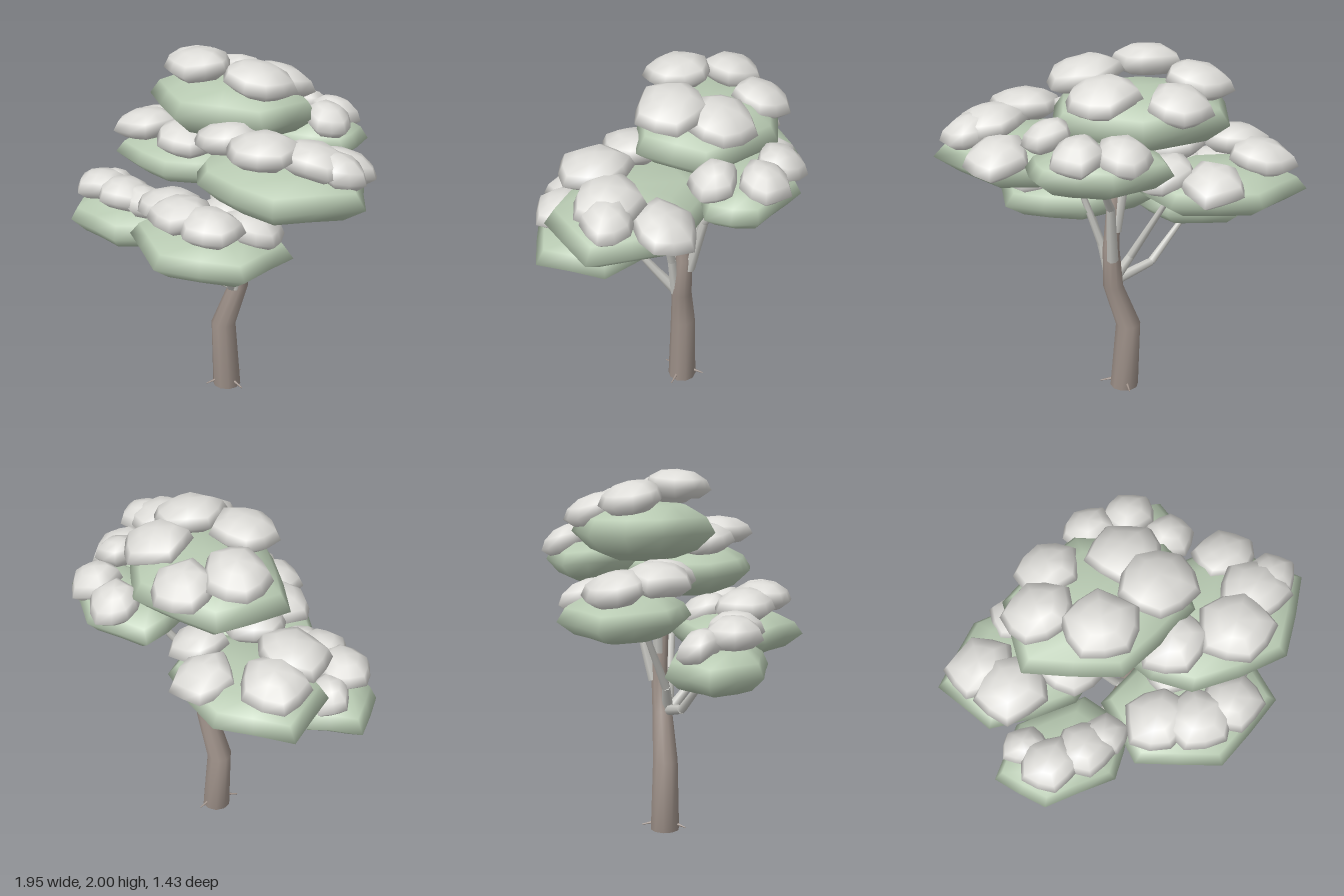
import * as THREE from 'three';
import { mergeVertices } from 'three/addons/utils/BufferGeometryUtils.js';

const mat = (name, color) => {
  const m = new THREE.MeshStandardMaterial({ color });
  m.name = name;
  return m;
};

// Skin a stack of equal-length rings, lowest first; a ring of one repeated point closes an end.
function loft(rings) {
  const n = rings[0].length, index = [];
  for (let i = 0; i < rings.length - 1; i++) {
    for (let j = 0; j < n; j++) {
      const a = i * n + j, b = i * n + (j + 1) % n;
      index.push(a, a + n, b, a + n, b + n, b);
    }
  }
  let geo = new THREE.BufferGeometry();
  geo.setAttribute('position', new THREE.Float32BufferAttribute(rings.flat(2), 3));
  geo.setIndex(index);
  geo = mergeVertices(geo, 1e-5);
  geo.computeVertexNormals();
  return geo;
}

// Lens-shaped pad: an oval rim with jutting corners, swelling above and below by [scale, height]
// steps, and leaning by a slope in x and z.
function pad([cx, cz, rx, rz], [bottom, rim, top], corners, yaw, profile, rand, slope = [0, 0]) {
  const outline = Array.from({ length: corners * 2 }, (_, j) => {
    const a = yaw + j * Math.PI / corners;
    const r = (j % 2 ? 0.93 : 1.05) + 0.08 * (rand() - 0.5);
    return [rx * r * Math.cos(a), rz * r * Math.sin(a), 0.02 * (rand() - 0.5)];
  });
  return loft(profile.map(([s, h]) => outline.map(([x, z, wave]) => [
    cx + x * s,
    rim + (h < 0 ? h * (rim - bottom) : h * (top - rim)) + s * (wave * s + slope[0] * x + slope[1] * z),
    cz + z * s,
  ])));
}

const LEAF_PROFILE = [[0, -1], [0.45, -0.92], [0.75, -0.62], [1, 0], [0.88, 0.5], [0.6, 0.88], [0, 1]];
const SNOW_PROFILE = [[0, -1], [0.65, -0.85], [1, 0], [0.86, 0.5], [0.5, 0.88], [0, 1]];

// Foliage pads: centre and radii in x and z; heights of bottom, rim, top; yaw of the corners;
// snow clumps [x, z, radius]
const PADS = [
  { oval: [-0.49, 0.28, 0.37, 0.26], heights: [0.9, 1.01, 1.15], yaw: 0.05,
    clumps: [[-0.6, 0.36, 0.16], [-0.4, 0.36, 0.16], [-0.28, 0.33, 0.13], [-0.68, 0.2, 0.12]] },
  { oval: [0.21, 0.32, 0.46, 0.36], heights: [0.97, 1.09, 1.22], yaw: 0.5,
    clumps: [[-0.01, 0.39, 0.18], [0.18, 0.48, 0.18], [0.38, 0.47, 0.17], [0.45, 0.24, 0.16], [0.2, 0.16, 0.16]] },
  { oval: [-0.51, -0.18, 0.45, 0.33], heights: [1.16, 1.27, 1.4], yaw: 0.17,
    clumps: [[-0.73, -0.19, 0.18], [-0.63, 0, 0.19], [-0.43, -0.39, 0.17], [-0.3, 0, 0.18], [-0.2, -0.27, 0.16]] },
  { oval: [0.44, 0.04, 0.5, 0.38], heights: [1.28, 1.42, 1.56], yaw: 0,
    clumps: [[0.48, 0.22, 0.2], [0.68, 0.06, 0.19], [0.79, 0.01, 0.14], [0.17, 0.15, 0.18], [0.65, -0.22, 0.17]] },
  { oval: [-0.09, -0.15, 0.5, 0.37], heights: [1.52, 1.67, 1.83], yaw: 0.6,
    clumps: [[-0.39, -0.17, 0.18], [-0.15, 0.04, 0.19], [0.19, -0.06, 0.2], [0.12, -0.3, 0.19], [-0.25, -0.38, 0.17]] },
  { oval: [0.16, -0.46, 0.36, 0.24], heights: [1.38, 1.5, 1.62], yaw: 0.4,
    clumps: [[0.05, -0.59, 0.14], [0.27, -0.58, 0.14], [0.4, -0.36, 0.13]] },
];

// Branch paths: [x, y, z] points, thick end first
const BRANCHES = [
  [[0.04, 0.67, -0.03], [-0.19, 0.73, 0.07], [-0.42, 0.96, 0.22]],
  [[0.04, 0.67, -0.02], [0.08, 0.8, 0.08], [0.14, 1.02, 0.24]],
  [[0.04, 0.67, -0.03], [-0.06, 0.82, -0.03], [-0.26, 1.22, -0.14]],
  [[0.05, 0.66, -0.03], [0.1, 0.9, -0.025], [0.25, 1.34, -0.02]],
  [[0.05, 0.84, -0.11], [0.07, 1.18, -0.2], [0.15, 1.42, -0.36]],
  [[0.03, 1, -0.08], [-0.02, 1.3, -0.08], [-0.08, 1.56, -0.14]],
];

export function createModel() {
  const tree = new THREE.Group();
  tree.name = 'snowyTree';
  const bark = mat('bark brown', 0xa0938b);
  const twig = mat('frosted branch', 0xc9c9c4);
  const leaf = mat('frosted green', 0xb8cab2);
  const snow = mat('snow', 0xdddcd8);
  const add = (name, geo, material, parent = tree) => {
    const mesh = new THREE.Mesh(geo, material);
    mesh.name = name;
    parent.add(mesh);
    return mesh;
  };
  let seed = 7;
  const rand = () => (seed = (seed * 16807) % 2147483647) / 2147483647;

  // Bent trunk: [x, y, z, radius]
  const trunk = [[-0.025, 0, -0.04, 0], [-0.025, 0, -0.04, 0.081], [-0.047, 0.4, -0.035, 0.07],
    [0.042, 0.66, -0.062, 0.056], [0.055, 0.9, -0.08, 0.046], [0.03, 1.26, -0.055, 0.034], [0.03, 1.29, -0.055, 0]];
  add('trunk', loft(trunk.map(([x, y, z, r]) => Array.from({ length: 10 }, (_, j) => {
    const a = j * Math.PI / 5;
    return [x + r * Math.cos(a), y, z + r * Math.sin(a)];
  }))), bark);

  // Tapered rod between two points
  const rod = (name, from, to, r0, r1, material, parent) => {
    const a = new THREE.Vector3(...from), b = new THREE.Vector3(...to);
    const dir = b.clone().sub(a);
    const mesh = add(name, new THREE.CylinderGeometry(r1, r0, dir.length(), 7), material, parent);
    mesh.position.copy(a).add(b).multiplyScalar(0.5);
    mesh.quaternion.setFromUnitVectors(new THREE.Vector3(0, 1, 0), dir.normalize());
  };
  for (const [p, q, r] of BRANCHES) {
    const branch = new THREE.Group();
    branch.name = 'branch';
    tree.add(branch);
    rod('branchBase', p, q, 0.032, 0.024, twig, branch);
    rod('branchTip', q, r, 0.024, 0.014, twig, branch);
  }

  // Small root spikes at the foot
  for (const a of [0.1, 1.9, 4.6]) {
    const c = Math.cos(a), s = Math.sin(a);
    rod('rootSpike', [-0.025 + 0.06 * c, 0.04, -0.04 + 0.06 * s], [-0.025 + 0.138 * c, 0.025, -0.04 + 0.128 * s], 0.009, 0.003, bark);
  }

  // Foliage pads; their snow clumps ride higher at the front and lean down towards the rim
  for (const { oval, heights, yaw, clumps } of PADS) {
    const group = new THREE.Group();
    group.name = 'foliagePad';
    tree.add(group);
    add('foliage', pad(oval, heights, 6, yaw, LEAF_PROFILE, rand), leaf, group);
    const [cx, cz, rx, rz] = oval;
    for (const [x, z, r] of clumps) {
      const u = (x - cx) / rx, v = (z - cz) / rz;
      const y = heights[2] + 0.06 + 0.25 * (z - cz) - 0.08 * (u * u + v * v);
      const slope = [-0.28 * u, 0.1 - 0.28 * v];
      const geo = pad([x, z, r, r * 0.92], [y - 0.075, y - 0.02, y + 0.08], 5, rand() * 6, SNOW_PROFILE, rand, slope);
      add('snowClump', geo, snow, group);
    }
  }
  return tree;
}
